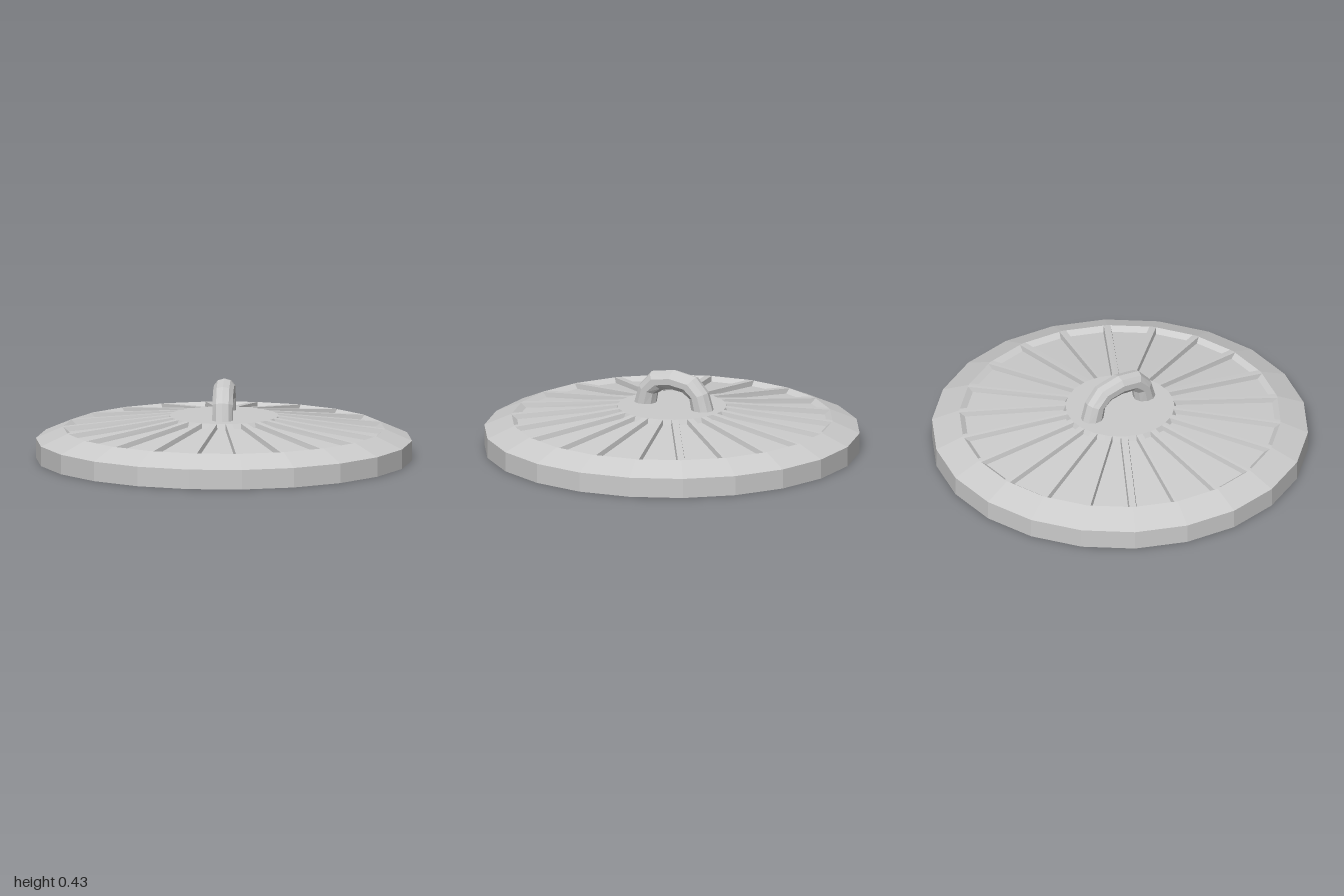
import * as THREE from 'three';

const SIDES = 22;

// Flat-shaded geometry from four-cornered faces, corners counter-clockwise from outside
function fromQuads(quads) {
  const pos = [];
  for (const [a, b, c, d] of quads) for (const p of [a, b, c, a, c, d]) pos.push(...p);
  const g = new THREE.BufferGeometry();
  g.setAttribute('position', new THREE.Float32BufferAttribute(pos, 3));
  g.computeVertexNormals();
  return g;
}

// One roof facet (facing +z): two half ribs around a sunken panel
function sectorGeometry() {
  const corners = (zOut, yOut, wOut, zIn, yIn, wIn) => [
    [-wOut, yOut, zOut], [wOut, yOut, zOut], [wIn, yIn, zIn], [-wIn, yIn, zIn]];
  const cos = Math.cos(Math.PI / SIDES), tan = Math.tan(Math.PI / SIDES);
  const zo = 0.855 * cos, zi = 0.29 * cos, rib = 0.018;
  const facet = corners(zo, 0.168, zo * tan, zi, 0.235, zi * tan);
  const rim = corners(zo, 0.168, zo * tan - rib, zi, 0.235, zi * tan - rib);
  const floor = corners(0.818, 0.145, 0.818 * tan - rib - 0.005, 0.3, 0.209, 0.3 * tan - rib - 0.004);
  const quads = [
    floor,
    [rim[1], facet[1], facet[2], rim[2]],
    [facet[0], rim[0], rim[3], facet[3]],
  ];
  for (let i = 0; i < 4; i++) {
    const j = (i + 1) % 4;
    quads.push([rim[i], rim[j], floor[j], floor[i]]);
  }
  return fromQuads(quads);
}

// Arched grip: rings spanned between the outer and inner outline of the arch
function handleGeometry() {
  const half = [ // outer z, outer y, inner z, inner y
    [0.238, 0.225, 0.113, 0.225],
    [0.205, 0.33, 0.103, 0.29],
    [0.135, 0.408, 0.062, 0.316],
    [0, 0.431, 0, 0.323],
  ];
  const mirrored = half.slice(0, 3).reverse().map(([a, b, c, d]) => [-a, b, -c, d]);
  const n = 10;
  const rings = [...half, ...mirrored].map(([oz, oy, iz, iy]) =>
    Array.from({ length: n }, (_, k) => {
      const a = (k / n) * Math.PI * 2, c = Math.cos(a) / 2;
      return [Math.sin(a) * 0.057, (oy + iy) / 2 + c * (oy - iy), (oz + iz) / 2 + c * (oz - iz)];
    }));
  const quads = [];
  for (let i = 0; i < rings.length - 1; i++) {
    for (let k = 0; k < n; k++) {
      const m = (k + 1) % n;
      quads.push([rings[i][k], rings[i][m], rings[i + 1][m], rings[i + 1][k]]);
    }
  }
  return fromQuads(quads);
}

export function createModel() {
  const group = new THREE.Group();
  group.name = 'ribbedLid';
  const material = new THREE.MeshStandardMaterial({ color: 0xcccccc, flatShading: true });
  const add = (name, geometry, parent = group) => {
    const mesh = new THREE.Mesh(geometry, material);
    mesh.name = name;
    parent.add(mesh);
    return mesh;
  };
  const lathe = (points) => new THREE.LatheGeometry(
    points.map(([r, y]) => new THREE.Vector2(r, y)), SIDES).rotateY(Math.PI / 2);

  // Hollow underside, vertical rim and sloping shoulder
  add('rim', lathe([
    [0, 0.187], [0.28, 0.187], [0.65, 0.137], [0.93, 0.07],
    [0.93, 0], [1, 0], [1, 0.105], [0.855, 0.168],
  ]));

  // Flat middle
  add('centreDisc', lathe([[0.29, 0.235], [0, 0.235]]));

  // Ring of sunken panels separated by radial ribs
  const panels = new THREE.Group();
  panels.name = 'ribbedPanels';
  group.add(panels);
  const sector = sectorGeometry();
  for (let i = 0; i < SIDES; i++) {
    add('panel', sector, panels).rotation.y = (i / SIDES) * Math.PI * 2;
  }

  // Grip over the middle
  add('handle', handleGeometry()).position.z = -0.012;

  return group;
}
